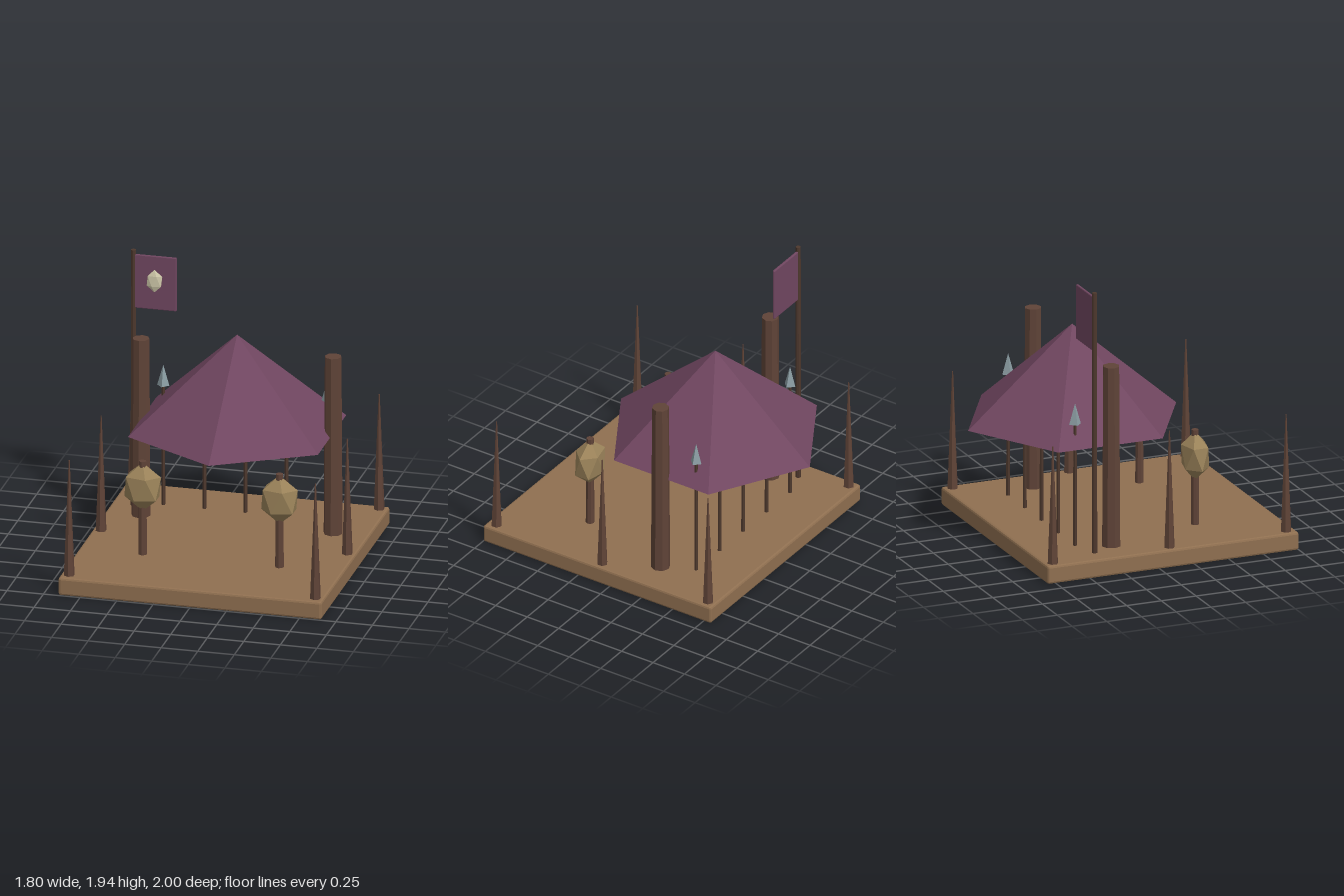
import * as THREE from 'three';
import { RoundedBoxGeometry } from 'three/addons/geometries/RoundedBoxGeometry.js';

const mat = (color) => new THREE.MeshStandardMaterial({ color, flatShading: true });

export function createModel() {
  const model = new THREE.Group();
  const plank = mat(0x8f6f50), bark = mat(0x5f4337), darkWood = mat(0x4d382d);
  const cloth = mat(0x704660), steel = mat(0x8a9ca2), hide = mat(0x9a8259), bone = mat(0xd0c9aa);

  const add = (parent, name, geometry, material, x, y, z) => {
    const mesh = new THREE.Mesh(geometry, material);
    mesh.name = name;
    mesh.position.set(x, y, z);
    parent.add(mesh);
    return mesh;
  };
  // Upright tapered rod from y0 to y1
  const rod = (parent, name, material, x, z, y0, y1, rBottom, rTop, sides) =>
    add(parent, name, new THREE.CylinderGeometry(rTop, rBottom, y1 - y0, sides), material, x, (y0 + y1) / 2, z);
  // Stretched icosahedron standing on one of its corners
  const gem = (rx, ry, rz) => new THREE.IcosahedronGeometry(1, 0)
    .rotateZ(-Math.atan(2 / (1 + Math.sqrt(5)))).scale(rx, ry, rz);

  // Platform with a fine chamfer
  add(model, 'platform', new RoundedBoxGeometry(1.8, 0.125, 1.81, 1, 0.015), plank, 0, 0.0625, 0.095);

  // Six-sided tent roof
  add(model, 'tentRoof', new THREE.ConeGeometry(0.75, 0.65, 6), cloth, 0, 1.145, -0.25);

  for (const side of [-1, 1]) {
    // Tall side pillars
    rod(model, 'pillar', bark, side * 0.657, -0.25, 0.08, 1.38, 0.065, 0.057, 8);

    // Palisade stakes along each edge
    for (const z of [-0.75, 0.09, 0.93])
      rod(model, 'stake', bark, side * 0.842, z, 0, 0.94, 0.042, 0.004, 6);

    // Practice dummies: post with a stuffed hide bag
    const dummy = new THREE.Group();
    dummy.name = 'dummy';
    dummy.position.set(side * 0.468, 0, 0.435);
    model.add(dummy);
    rod(dummy, 'dummyPost', bark, 0, 0, 0.08, 0.785, 0.03, 0.025, 8);
    add(dummy, 'dummyBag', gem(0.14, 0.172, 0.1), hide, 0, 0.602, 0);
  }

  // Row of spears
  for (let i = -2; i <= 2; i++) {
    const spear = new THREE.Group();
    spear.name = 'spear';
    spear.position.set(i * 0.281, 0, -0.47);
    model.add(spear);
    rod(spear, 'spearShaft', darkWood, 0, 0, 0.08, 1.0, 0.014, 0.012, 6);
    add(spear, 'spearHead', new THREE.ConeGeometry(0.042, 0.145, 4), steel, 0, 1.045, 0);
  }

  // Banner on its pole
  const banner = new THREE.Group();
  banner.name = 'banner';
  banner.position.set(-0.75, 0, -0.41);
  model.add(banner);
  rod(banner, 'bannerPole', darkWood, 0, 0, 0, 1.94, 0.02, 0.017, 8);
  add(banner, 'bannerCloth', new RoundedBoxGeometry(0.29, 0.38, 0.018, 1, 0.006), cloth, 0.15, 1.72, 0);
  add(banner, 'bannerEmblem', gem(0.06, 0.08, 0.018), bone, 0.15, 1.74, 0.026);

  return model;
}
